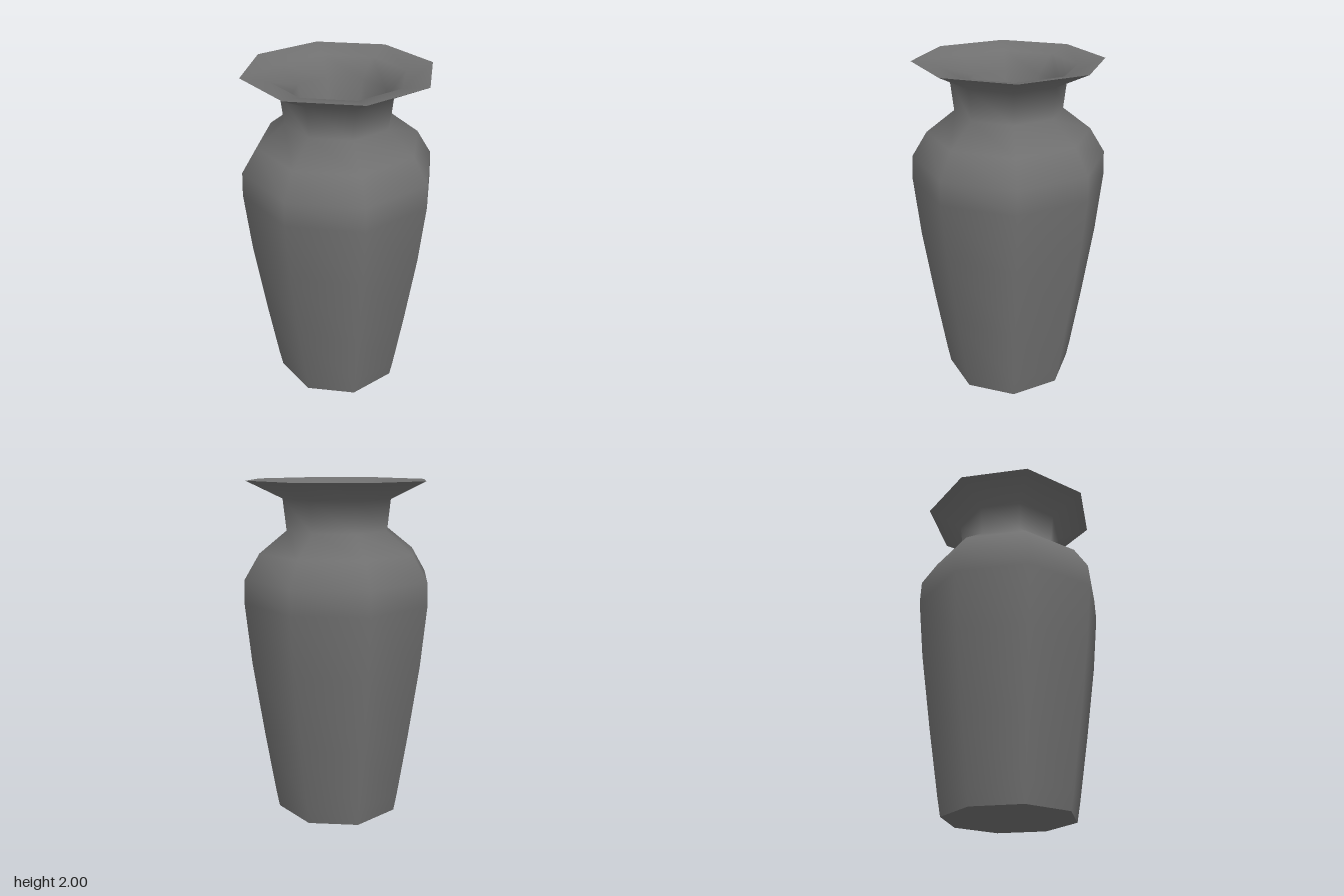
import * as THREE from 'three';

const SIDES = 8;

export function createModel() {
  const group = new THREE.Group();
  group.name = 'vase';
  const material = new THREE.MeshStandardMaterial({ color: 0x707070 });

  // Revolves [radius, height] pairs; each section keeps a sharp edge to the next
  const addSection = (name, profile) => {
    const points = profile.map(([r, y]) => new THREE.Vector2(r, y));
    const mesh = new THREE.Mesh(new THREE.LatheGeometry(points, SIDES), material);
    mesh.name = name;
    group.add(mesh);
  };

  // Underside of the foot
  addSection('base', [[0, 0], [0.387, 0]]);

  // Outer wall: tapered body, shoulder, neck and flared lip
  addSection('outerWall', [
    [0.387, 0], [0.407, 0.11], [0.468, 0.5], [0.532, 0.95], [0.567, 1.31],
    [0.561, 1.45], [0.472, 1.595], [0.31, 1.72], [0.33, 1.9], [0.538, 2],
  ]);

  // Shallow lip rolling over into the tapering throat
  addSection('throat', [
    [0.538, 2], [0.385, 1.968], [0.27, 1.87], [0.203, 1.55],
  ]);

  // Flat floor of the throat
  addSection('throatFloor', [[0.203, 1.55], [0, 1.55]]);

  return group;
}
